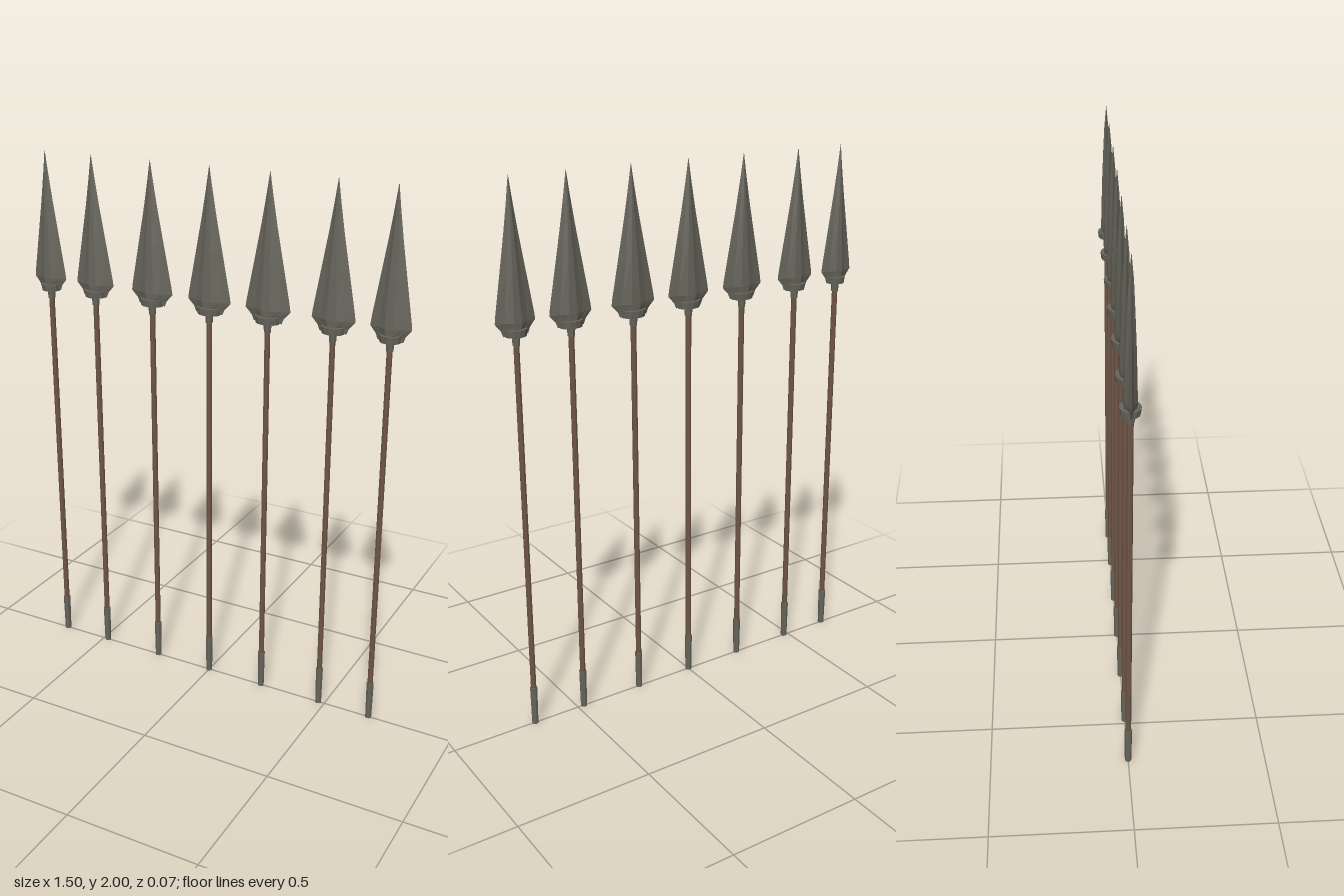
import * as THREE from 'three';

const steel = new THREE.MeshStandardMaterial({ color: 0x67655b });
steel.name = 'dark steel';
const wood = new THREE.MeshStandardMaterial({ color: 0x6e5646 });
wood.name = 'brown wood';

// [x of the spear, half width of its blade]
const SPEARS = [
  [-0.68, 0.07], [-0.48, 0.08], [-0.235, 0.085], [0, 0.085],
  [0.23, 0.086], [0.475, 0.08], [0.68, 0.073],
];

// Blade sections from base to tip: [y, width factor, half thickness]
const SECTIONS = [
  [1.48, 0.62, 0.018], [1.5, 0.72, 0.022], [1.525, 1, 0.023], [1.55, 0.96, 0.022],
  [1.7, 0.62, 0.018], [1.82, 0.35, 0.013], [1.92, 0.15, 0.008], [2, 0.006, 0.0005],
];

// Thin cutting edges with a raised rib down the middle
const RING = [
  [1, 0], [0.55, 0.38], [0.2, 0.95], [-0.2, 0.95], [-0.55, 0.38],
  [-1, 0], [-0.55, -0.38], [-0.2, -0.95], [0.2, -0.95], [0.55, -0.38],
];

function bladeGeometry(halfWidth) {
  const n = RING.length;
  const positions = [];
  const index = [];
  for (const [y, w, t] of SECTIONS) {
    for (const [px, pz] of RING) positions.push(px * w * halfWidth, y, pz * t);
  }
  for (let s = 0; s < SECTIONS.length - 1; s++) {
    for (let i = 0; i < n; i++) {
      const a = s * n + i;
      const b = s * n + (i + 1) % n;
      index.push(a, a + n, b, b, a + n, b + n);
    }
  }
  // Close the base and the tip
  const top = (SECTIONS.length - 1) * n;
  for (let i = 1; i < n - 1; i++) {
    index.push(0, i, i + 1, top, top + i + 1, top + i);
  }
  const indexed = new THREE.BufferGeometry();
  indexed.setAttribute('position', new THREE.Float32BufferAttribute(positions, 3));
  indexed.setIndex(index);
  const geometry = indexed.toNonIndexed();
  geometry.computeVertexNormals();
  return geometry;
}

// Upright faceted rod between two heights
function rod(name, rTop, rBottom, y0, y1, sides, material) {
  const geometry = new THREE.CylinderGeometry(rTop, rBottom, y1 - y0, sides).toNonIndexed();
  geometry.computeVertexNormals();
  const mesh = new THREE.Mesh(geometry, material);
  mesh.name = name;
  mesh.position.y = (y0 + y1) / 2;
  return mesh;
}

function createSpear(halfWidth) {
  const spear = new THREE.Group();
  spear.name = 'spear';

  spear.add(rod('shaft', 0.0105, 0.0105, 0.14, 1.46, 8, wood));
  spear.add(rod('buttCap', 0.014, 0.012, 0, 0.15, 8, steel));
  spear.add(rod('socket', 0.016, 0.013, 1.445, 1.49, 8, steel));

  const blade = new THREE.Mesh(bladeGeometry(halfWidth), steel);
  blade.name = 'blade';
  spear.add(blade);

  // Oval collar under the blade
  const collar = rod('collar', 1, 0.92, 1.477, 1.502, 12, steel);
  collar.scale.set(halfWidth * 0.55, 1, 0.035);
  spear.add(collar);
  return spear;
}

export function createModel() {
  const model = new THREE.Group();
  model.name = 'spearRow';
  for (const [x, halfWidth] of SPEARS) {
    const spear = createSpear(halfWidth);
    spear.position.x = x;
    model.add(spear);
  }
  return model;
}
